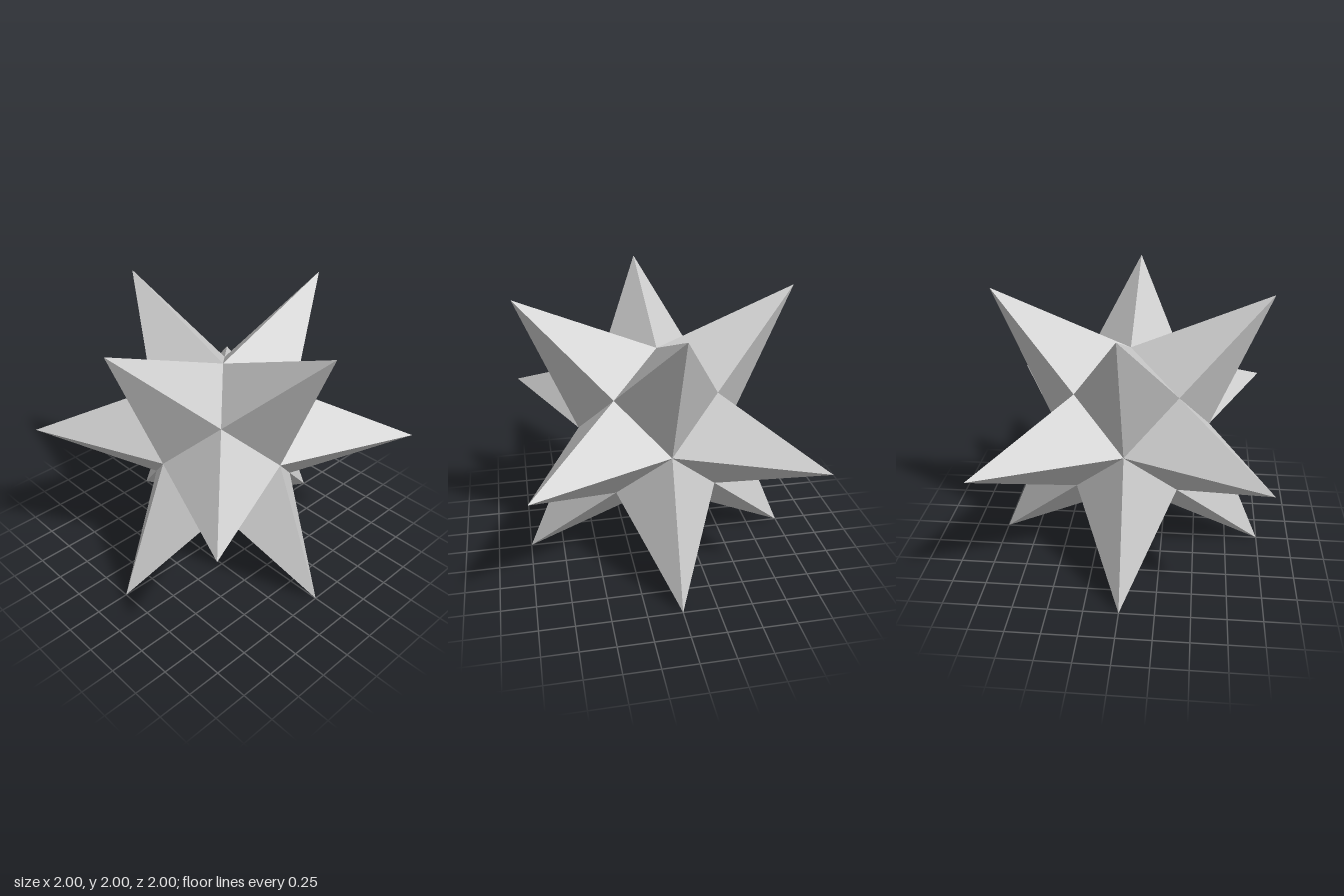
import * as THREE from 'three';

// Distance of the valley points from the centre: along the axes, and per coordinate on the cube diagonals
const AXIS = 2 - Math.SQRT2;
const DIAG = (Math.sqrt(3) - 1) / 2;

// One four-sided spike pointing along (1, 1, 0), open at its hidden base
function spikeGeometry() {
  const tip = [1, 1, 0];
  const ring = [
    [AXIS, 0, 0],
    [DIAG, DIAG, -DIAG],
    [0, AXIS, 0],
    [DIAG, DIAG, DIAG],
  ];
  const points = ring.flatMap((p, i) => [...tip, ...p, ...ring[(i + 1) % 4]]);
  const geometry = new THREE.BufferGeometry();
  geometry.setAttribute('position', new THREE.Float32BufferAttribute(points, 3));
  geometry.computeVertexNormals();
  return geometry;
}

export function createModel() {
  const model = new THREE.Group();
  model.name = 'spikedStar';
  const material = new THREE.MeshStandardMaterial({ color: 0xcccccc, flatShading: true });
  const geometry = spikeGeometry();
  const diagonal = new THREE.Vector3(1, 1, 1).normalize();

  // Three rings of four spikes, one ring in each coordinate plane
  ['upright', 'level', 'sideways'].forEach((label, r) => {
    const ring = new THREE.Group();
    ring.name = `${label}SpikeRing`;
    ring.quaternion.setFromAxisAngle(diagonal, (r * 2 * Math.PI) / 3);
    ring.position.y = 1;
    for (let i = 0; i < 4; i++) {
      const spike = new THREE.Mesh(geometry, material);
      spike.name = `spike${i + 1}`;
      spike.rotation.z = (i * Math.PI) / 2;
      ring.add(spike);
    }
    model.add(ring);
  });
  return model;
}
